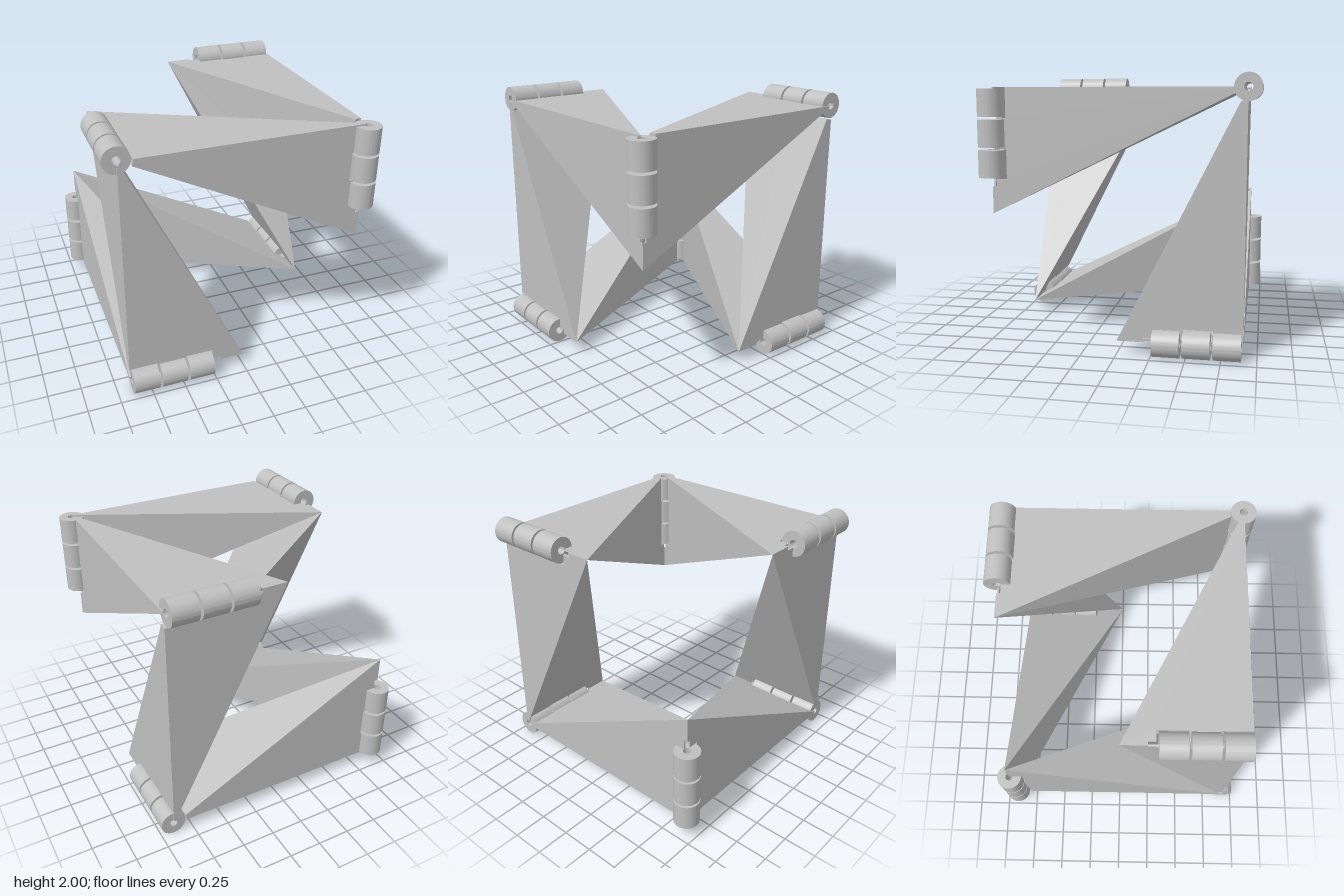
import * as THREE from 'three';
import { toCreasedNormals } from 'three/addons/utils/BufferGeometryUtils.js';

// A ring of six hinged tetrahedra folded inside a cube
const C = 0.903;             // half edge of the cube
const KNUCKLE = 0.097;       // outer radius of a hinge knuckle
const PIN = 0.03;            // radius of the pin hole
const POCKET = 0.107;        // clearance cut around a neighbour's knuckle
const WEDGE = Math.atan(0.5);
const STEPS = 8;

// Clearance along a hinge edge: [distance from corner, radius]
const outerPockets = [
  [0, POCKET], [0.22, POCKET], [0.22, PIN], [0.433, PIN], [0.433, POCKET],
  [0.655, POCKET], [0.655, PIN], [0.71, PIN], [0.71, 0],
];
const middlePocket = [
  [0, PIN], [0.21, PIN], [0.21, POCKET], [0.43, POCKET],
  [0.43, PIN], [0.71, PIN], [0.71, 0],
];

const V = (x, y, z) => new THREE.Vector3(x, y, z);

// One tetrahedron, made of two hinge wedges facing each other
function tetrahedronGeometry() {
  const pos = [];
  const tri = (a, b, c) => [a, b, c].forEach((p) => pos.push(p.x, p.y, p.z));

  // u runs along the hinge, e along the outer face, g into the cube
  function wedge(P, u, e, g, profile, tipCut) {
    const at = (t, r, angle) => P.clone().addScaledVector(u, t)
      .addScaledVector(e, r * Math.cos(angle)).addScaledVector(g, r * Math.sin(angle));

    // Flat face holding the notched hinge edge
    function face(angle, tip, flip) {
      const outline = [...profile, [C, 0], ...tip].map(([t, r]) => new THREE.Vector2(t, r));
      for (const [i, j, k] of THREE.ShapeUtils.triangulateShape(outline, [])) {
        const [a, b, c] = [i, j, k].map((n) => at(outline[n].x, outline[n].y, angle));
        if (flip) tri(a, c, b); else tri(a, b, c);
      }
    }
    const tip = [];
    for (let i = STEPS; i >= 0; i--) {
      const s = (WEDGE * i) / STEPS;
      tip.push([tipCut * Math.sin(s), 2 * C - tipCut * Math.cos(s)]);
    }
    face(0, tip, true);
    face(WEDGE, [[0, C * Math.sqrt(5)]], false);

    // Walls of the pockets and of the pin hole
    for (let i = 0; i + 1 < profile.length; i++) {
      for (let j = 0; j < STEPS; j++) {
        const s0 = (WEDGE * j) / STEPS, s1 = (WEDGE * (j + 1)) / STEPS;
        const a = at(...profile[i], s0), b = at(...profile[i + 1], s0);
        const c = at(...profile[i + 1], s1), d = at(...profile[i], s1);
        tri(a, b, c);
        if (profile[i][1] > 0) tri(a, c, d);
      }
    }
  }
  wedge(V(-C, C, C), V(0, 0, -1), V(1, 0, 0), V(0, -1, 0), outerPockets, PIN);
  wedge(V(C, C, C), V(0, -1, 0), V(-1, 0, 0), V(0, 0, -1), middlePocket, POCKET);

  const geo = new THREE.BufferGeometry();
  geo.setAttribute('position', new THREE.Float32BufferAttribute(pos, 3));
  return geo;
}

// Reverses the corner order of a mirrored, non-indexed geometry
function flipFaces(geo) {
  const p = geo.attributes.position, a = new THREE.Vector3(), b = new THREE.Vector3();
  for (let i = 0; i < p.count; i += 3) {
    a.fromBufferAttribute(p, i + 1);
    b.fromBufferAttribute(p, i + 2);
    p.setXYZ(i + 1, b.x, b.y, b.z);
    p.setXYZ(i + 2, a.x, a.y, a.z);
  }
}

// Hollow hinge knuckle starting at the origin and running along z
function knuckleGeometry(length) {
  const ring = new THREE.Shape().absarc(0, 0, KNUCKLE, 0, Math.PI * 2, false);
  ring.holes.push(new THREE.Path().absarc(0, 0, PIN, 0, Math.PI * 2, true));
  const geo = new THREE.ExtrudeGeometry(ring, { depth: length, bevelEnabled: false, curveSegments: 40 });
  return toCreasedNormals(geo, 0.6);
}

export function createModel() {
  const model = new THREE.Group();
  model.name = 'foldingTetrahedronRing';
  const grey = new THREE.MeshStandardMaterial({ color: 0xc0c0c0 });
  grey.name = 'light grey';

  const body = tetrahedronGeometry();
  const knuckle = knuckleGeometry(0.196);
  // Sixfold turn-and-mirror: (x, y, z) becomes (y, z, -x)
  const turn = new THREE.Matrix4().set(0, 1, 0, 0, 0, 0, 1, 0, -1, 0, 0, 0, 0, 0, 0, 1);
  const step = new THREE.Matrix4();

  for (let k = 0; k < 6; k++) {
    const geo = body.clone().applyMatrix4(step);
    if (k % 2) flipFaces(geo);
    geo.computeVertexNormals();
    const tetra = new THREE.Mesh(geo, grey);
    tetra.name = `tetrahedron${k + 1}`;
    tetra.position.y = 1;
    model.add(tetra);

    // Three knuckles along the hinge edge
    const hinge = new THREE.Group();
    hinge.name = `hinge${k + 1}`;
    const axis = V(0, 0, -1).applyMatrix4(step);
    hinge.position.copy(V(-C, C, C).applyMatrix4(step));
    hinge.position.y += 1;
    hinge.quaternion.setFromUnitVectors(V(0, 0, 1), axis);
    for (let i = 0; i < 3; i++) {
      const part = new THREE.Mesh(knuckle, grey);
      part.name = `knuckle${i + 1}`;
      part.position.z = 0.012 + i * 0.216;
      hinge.add(part);
    }
    model.add(hinge);
    step.premultiply(turn);
  }
  return model;
}
